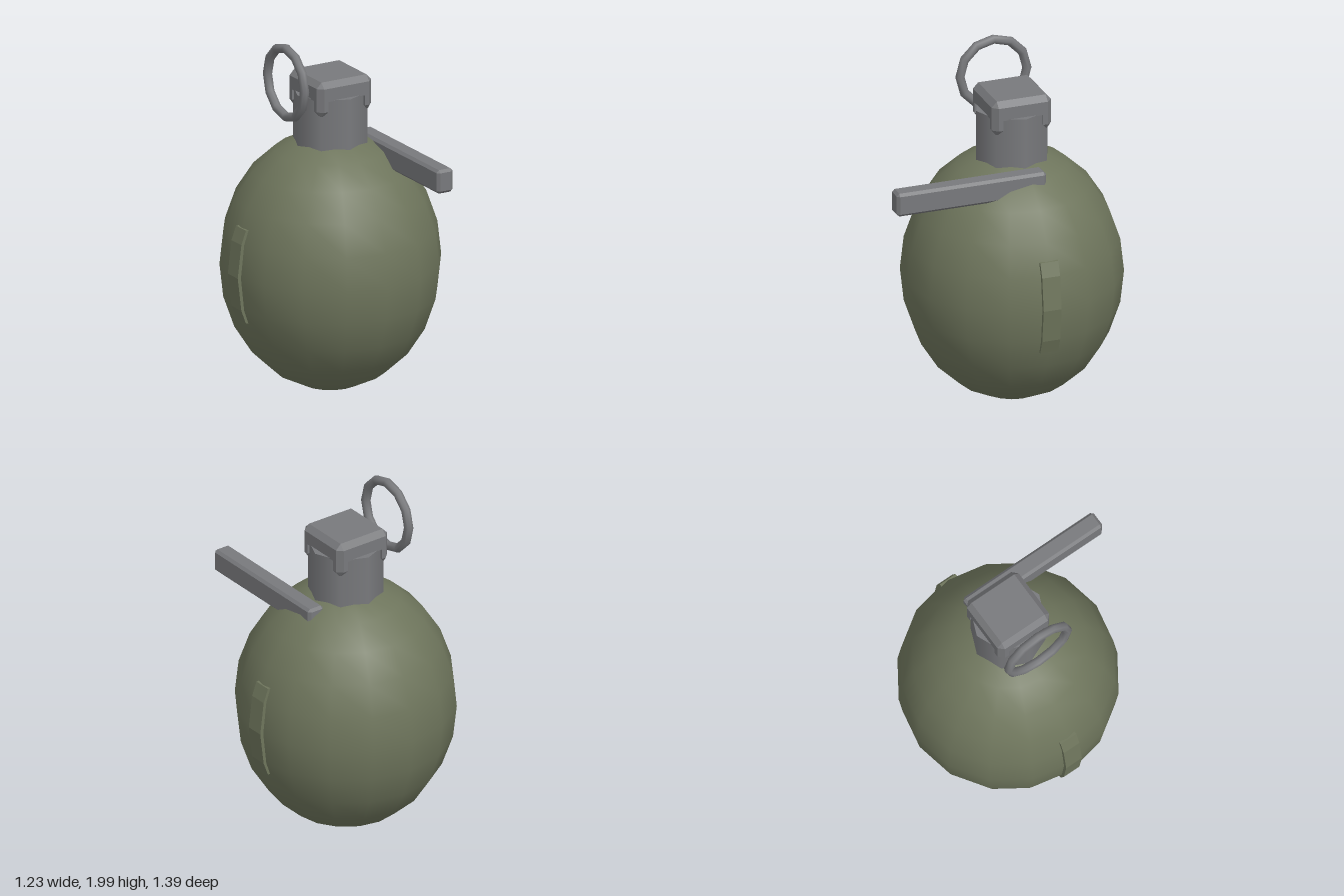
import * as THREE from 'three';

// Flat-shaded solid from rings of [x, y, z] points, listed bottom to top,
// each ring counter-clockwise seen from above.
function loft(rings) {
  const pos = [];
  const n = rings[0].length;
  const tri = (a, b, c) => pos.push(...a, ...b, ...c);
  for (let r = 0; r < rings.length - 1; r++) {
    for (let i = 0; i < n; i++) {
      const j = (i + 1) % n;
      const lo = rings[r], hi = rings[r + 1];
      tri(lo[i], lo[j], hi[j]);
      tri(lo[i], hi[j], hi[i]);
    }
  }
  const first = rings[0], last = rings[rings.length - 1];
  for (let i = 1; i < n - 1; i++) {
    tri(first[0], first[i + 1], first[i]);
    tri(last[0], last[i], last[i + 1]);
  }
  const g = new THREE.BufferGeometry();
  g.setAttribute('position', new THREE.Float32BufferAttribute(pos, 3));
  g.computeVertexNormals();
  return g;
}

// Rectangle ring with cut corners
function rectRing(y, hx, hz, c) {
  return [
    [hx, hz - c], [hx, -hz + c], [hx - c, -hz], [-hx + c, -hz],
    [-hx, -hz + c], [-hx, hz - c], [-hx + c, hz], [hx - c, hz],
  ].map(([x, z]) => [x, y, z]);
}

export function createModel() {
  const olive = new THREE.MeshStandardMaterial({ color: 0x6e755c });
  olive.name = 'olive green';
  const steel = new THREE.MeshStandardMaterial({ color: 0x78797c });
  steel.name = 'steel grey';

  const model = new THREE.Group();
  const core = new THREE.Group();
  core.name = 'core';
  core.position.z = -0.088;
  model.add(core);

  const add = (parent, name, geometry, material) => {
    const mesh = new THREE.Mesh(geometry, material);
    mesh.name = name;
    parent.add(mesh);
    return mesh;
  };

  // Egg-shaped body
  const bodyGeo = new THREE.SphereGeometry(1, 16, 12);
  bodyGeo.scale(0.607, 0.725, 0.607);
  add(core, 'body', bodyGeo, olive).position.y = 0.732;

  // Raised ribs on both sides
  const rib = new THREE.Shape([
    [0.54, -0.265], [0.565, -0.265], [0.594, -0.187], [0.617, 0],
    [0.594, 0.187], [0.565, 0.265], [0.54, 0.265],
  ].map(([x, y]) => new THREE.Vector2(x, y)));
  const ribGeo = new THREE.ExtrudeGeometry(rib, { depth: 0.104, bevelEnabled: false });
  ribGeo.translate(0, 0.735, -0.052);
  add(core, 'leftRib', ribGeo, olive);
  add(core, 'rightRib', ribGeo, olive).rotation.y = Math.PI;

  // Neck
  add(core, 'neck', new THREE.CylinderGeometry(0.207, 0.207, 0.32, 8), steel).position.y = 1.535;

  // Cap with bevelled top and four corner claws
  add(core, 'cap', loft([
    rectRing(1.69, 0.172, 0.172, 0.03),
    rectRing(1.765, 0.172, 0.172, 0.03),
    rectRing(1.797, 0.142, 0.142, 0),
  ]), steel);
  const clawOutline = [
    [0.172, -0.115], [0.172, -0.142], [0.142, -0.172], [0.115, -0.172], [0.115, -0.115],
  ];
  const clawRing = (y, s) => clawOutline.map(([x, z]) =>
    [0.145 + (x - 0.145) * s, y, -0.145 + (z + 0.145) * s]);
  const clawGeo = loft([clawRing(1.603, 0.2), clawRing(1.632, 1), clawRing(1.7, 1)]);
  for (let i = 0; i < 4; i++) {
    add(core, 'capClaw', clawGeo, steel).rotation.y = i * Math.PI / 2;
  }

  // Pull ring beside the cap
  const ring = add(core, 'pullRing', new THREE.TorusGeometry(0.194, 0.026, 8, 12), steel);
  ring.rotation.y = Math.PI / 2;
  ring.position.set(-0.28, 1.78, 0);

  // Bevelled lever reaching forward
  const hx = 0.051, hy = 0.067, hz = 0.433, c = 0.015;
  const lever = add(model, 'lever', loft([
    rectRing(-hy, hx - c, hz - c, 0),
    rectRing(-hy + c, hx, hz, c),
    rectRing(hy - c, hx, hz, c),
    rectRing(hy, hx - c, hz - c, 0),
  ]), steel);
  lever.position.set(0.259, 1.345, 0.26);

  return model;
}
